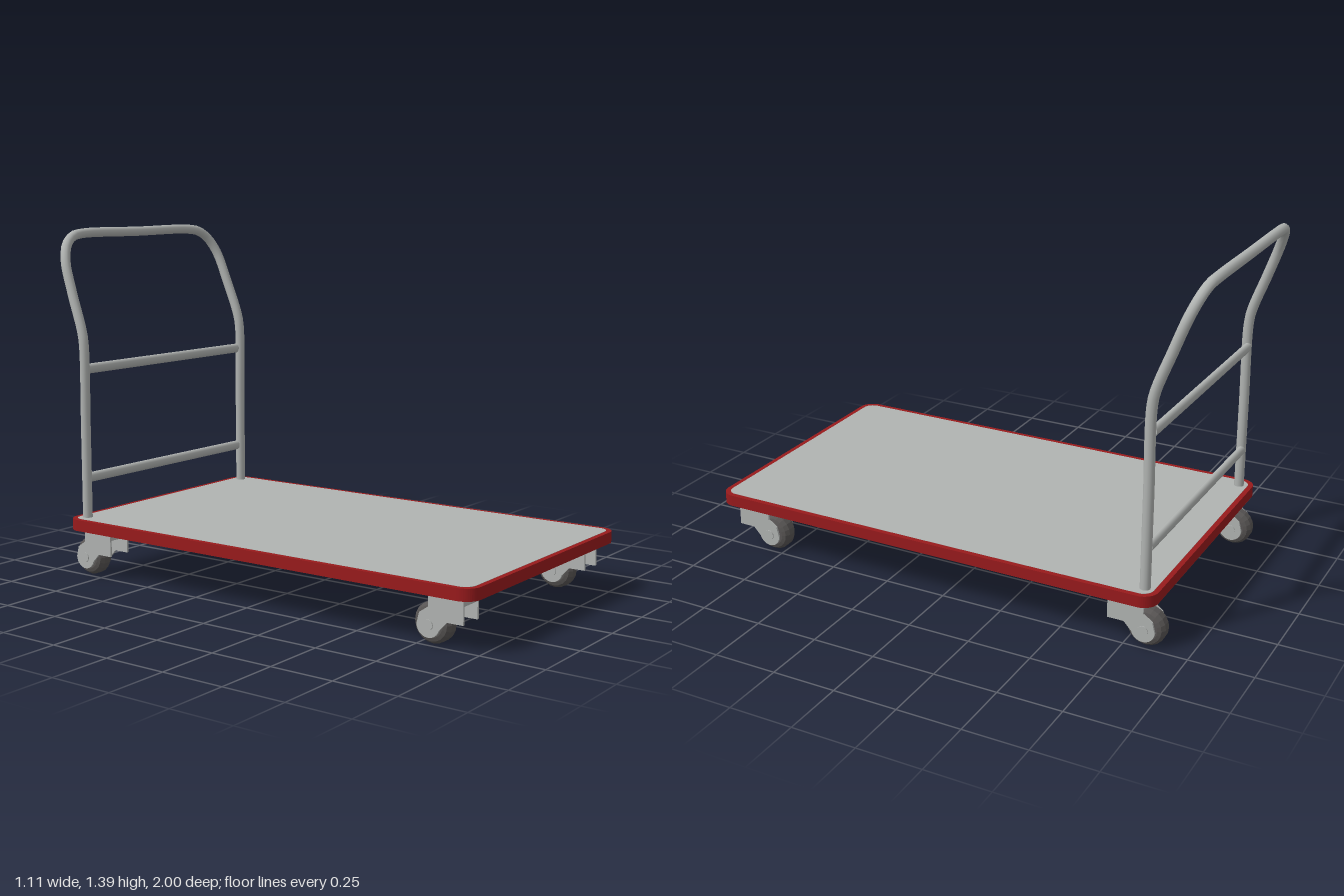
import * as THREE from 'three';

const steel = new THREE.MeshStandardMaterial({ color: 0xb0b3b1 });
steel.name = 'steel grey';
const red = new THREE.MeshStandardMaterial({ color: 0x981a1c });
red.name = 'red edging';
const rubber = new THREE.MeshStandardMaterial({ color: 0x585554 });
rubber.name = 'dark rubber';

function add(parent, name, geometry, material, x = 0, y = 0, z = 0) {
  const mesh = new THREE.Mesh(geometry, material);
  mesh.name = name;
  mesh.position.set(x, y, z);
  parent.add(mesh);
  return mesh;
}

// Rounded rectangle outline, half sizes w and h, corner radius r
function roundedRect(w, h, r, Type = THREE.Shape) {
  const s = new Type();
  s.moveTo(w, -h + r);
  s.absarc(w - r, h - r, r, 0, Math.PI / 2);
  s.absarc(-w + r, h - r, r, Math.PI / 2, Math.PI);
  s.absarc(-w + r, -h + r, r, Math.PI, Math.PI * 1.5);
  s.absarc(w - r, -h + r, r, Math.PI * 1.5, Math.PI * 2);
  s.closePath();
  return s;
}

function slab(shape, depth) {
  return new THREE.ExtrudeGeometry(shape, { depth, bevelEnabled: false, curveSegments: 6 })
    .rotateX(-Math.PI / 2);
}

// Caster with its origin at the wheel axle; the swivel sits forward of it
function makeCaster() {
  const caster = new THREE.Group();

  // Barrel-shaped wheel
  const half = [[0, -0.036], [0.05, -0.036], [0.064, -0.031], [0.075, -0.015]];
  const profile = [...half, ...half.map(([r, a]) => [r, -a]).reverse()];
  const wheelGeo = new THREE.LatheGeometry(profile.map(([r, a]) => new THREE.Vector2(r, a)), 20)
    .toNonIndexed();
  wheelGeo.computeVertexNormals();
  add(caster, 'wheel', wheelGeo.rotateZ(Math.PI / 2), rubber);
  add(caster, 'axle', new THREE.CylinderGeometry(0.02, 0.02, 0.112, 14).rotateZ(Math.PI / 2), steel);

  // Fork cheeks, drawn in (z, y) and turned to stand along z
  const cheek = new THREE.Shape();
  cheek.moveTo(0, 0.11);
  cheek.lineTo(0.14, 0.11);
  cheek.lineTo(0.14, 0.02);
  cheek.lineTo(0.075, 0.02);
  cheek.lineTo(0.045, -0.012);
  cheek.absarc(0, 0, 0.046, -0.26, -Math.PI, true);
  cheek.lineTo(-0.036, 0.04);
  cheek.lineTo(0, 0.065);
  cheek.closePath();
  const cheekGeo = new THREE.ExtrudeGeometry(cheek, { depth: 0.008, bevelEnabled: false })
    .rotateY(-Math.PI / 2);
  for (const x of [-0.044, 0.052]) add(caster, 'forkCheek', cheekGeo, steel, x, 0, 0);
  add(caster, 'forkCrown', new THREE.BoxGeometry(0.1, 0.025, 0.14), steel, 0, 0.0975, 0.07);
  add(caster, 'swivel', new THREE.CylinderGeometry(0.045, 0.045, 0.016, 20), steel, 0, 0.116, 0.07);
  return caster;
}

export function createModel() {
  const model = new THREE.Group();
  model.name = 'platformTrolley';

  // Deck with its red edging
  const deck = new THREE.Group();
  deck.name = 'deck';
  deck.position.z = 0.06;
  model.add(deck);
  const rim = roundedRect(0.555, 0.94, 0.06);
  rim.holes.push(roundedRect(0.535, 0.92, 0.042, THREE.Path));
  add(deck, 'deckEdging', slab(rim, 0.045), red, 0, 0.195, 0);
  add(deck, 'deckPlate', slab(roundedRect(0.535, 0.92, 0.042), 0.043), steel, 0, 0.198, 0);

  // Push handle: straight legs, leaning back and rounding over at the top
  const legZ = -0.825;
  const side = [
    [0.49, 0.215, legZ], [0.49, 0.6, legZ], [0.49, 0.93, legZ], [0.489, 0.99, -0.835],
    [0.483, 1.14, -0.89], [0.47, 1.265, -0.936], [0.435, 1.33, -0.961],
    [0.39, 1.36, -0.973], [0.33, 1.37, -0.98],
  ];
  const mirrored = side.map(([x, y, z]) => [-x, y, z]).reverse();
  const path = new THREE.CatmullRomCurve3(
    [...side, [0, 1.37, -0.98], ...mirrored].map((p) => new THREE.Vector3(...p)));
  const handle = new THREE.Group();
  handle.name = 'handle';
  model.add(handle);
  add(handle, 'handleTube', new THREE.TubeGeometry(path, 110, 0.02, 12), steel);

  // Cross bars, slightly flattened front to back
  for (const y of [0.4, 0.84]) {
    const bar = new THREE.CylinderGeometry(0.02, 0.02, 0.97, 14).rotateZ(Math.PI / 2).scale(1, 1, 0.75);
    add(handle, 'crossBar', bar, steel, 0, y, legZ - 0.005);
  }

  // Four casters
  for (const x of [-0.455, 0.455]) {
    for (const [name, z] of [['frontCaster', 0.8], ['rearCaster', -0.828]]) {
      const caster = makeCaster();
      caster.name = name;
      caster.position.set(x, 0.077, z);
      model.add(caster);
    }
  }
  return model;
}
